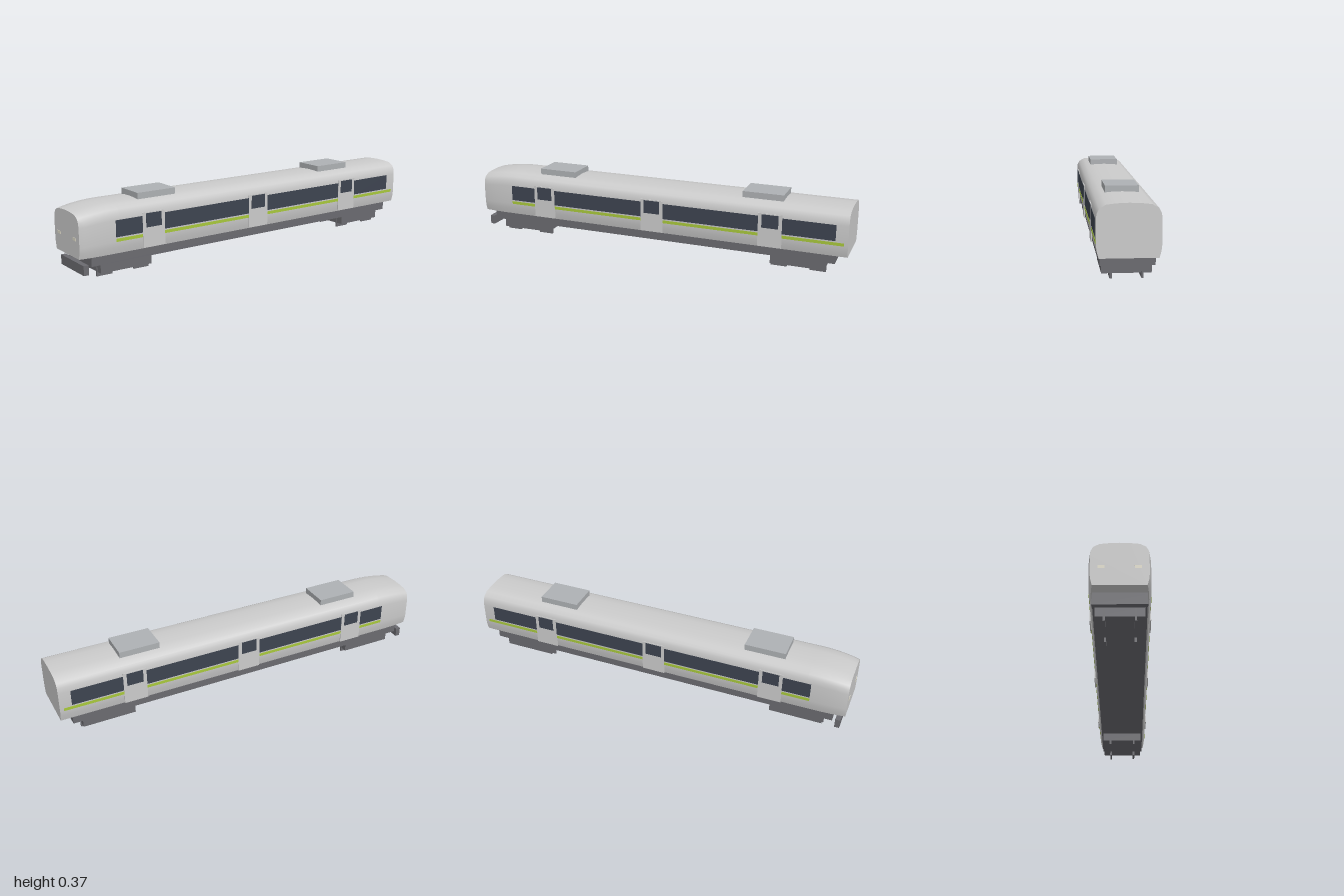
import * as THREE from 'three';
import { toCreasedNormals } from 'three/addons/utils/BufferGeometryUtils.js';

const mat = (color) => new THREE.MeshStandardMaterial({ color });

// Closed shell lofted along z; the nose narrows and droops towards the front
function shellGeometry() {
  const half = [[0.126, 0.11], [0.134, 0.142], [0.137, 0.17], [0.137, 0.27], [0.134, 0.297],
    [0.123, 0.318], [0.095, 0.334], [0.05, 0.339]];
  const ring = [...half, [0, 0.341], ...half.map(([x, y]) => [-x, y]).reverse()];
  const n = ring.length;
  const zs = [-1, 0.8, 0.84, 0.88, 0.92, 0.95, 0.975, 1];
  const pos = [], idx = [];
  for (const z of zs) {
    const t = Math.max(0, (z - 0.8) / 0.2);
    const sx = 1 - 0.08 * t ** 3, sy = 1 - 0.098 * t * t;
    for (const [x, y] of ring) pos.push(x * sx, 0.11 + (y - 0.11) * sy, z);
  }
  for (let s = 0; s < zs.length - 1; s++) {
    for (let i = 0; i < n; i++) {
      const a = s * n + i, b = s * n + (i + 1) % n;
      idx.push(a, b, b + n, a, b + n, a + n);
    }
  }
  const last = (zs.length - 1) * n;
  for (let i = 1; i < n - 1; i++) {
    idx.push(0, i + 1, i);
    idx.push(last, last + i, last + i + 1);
  }
  const g = new THREE.BufferGeometry();
  g.setAttribute('position', new THREE.Float32BufferAttribute(pos, 3));
  g.setIndex(idx);
  return toCreasedNormals(g, 0.7);
}

export function createModel() {
  const group = new THREE.Group();
  const grey = mat(0xcccccc), dark = mat(0x6b6b70), glass = mat(0x3d4450);
  const green = mat(0xa8c83c), roofGrey = mat(0xaeb1b4), lamp = mat(0xe0dccb);

  // Box given by its extents on each axis
  const box = (name, m, x0, x1, y0, y1, z0, z1) => {
    const mesh = new THREE.Mesh(new THREE.BoxGeometry(x1 - x0, y1 - y0, z1 - z0), m);
    mesh.position.set((x0 + x1) / 2, (y0 + y1) / 2, (z0 + z1) / 2);
    mesh.name = name;
    group.add(mesh);
  };
  // Thin panel on both flanks, reaching out to the given x
  const flank = (name, m, out, y0, y1, z0, z1) => {
    box(name + 'Left', m, 0.134, out, y0, y1, z0, z1);
    box(name + 'Right', m, -out, -0.134, y0, y1, z0, z1);
  };

  const shell = new THREE.Mesh(shellGeometry(), grey);
  shell.name = 'bodyShell';
  group.add(shell);

  // Side windows and stripe
  for (const [a, b] of [[0.68, 0.82], [0.06, 0.56], [-0.56, -0.06], [-0.94, -0.68]]) {
    flank('sideWindow', glass, 0.138, 0.19, 0.27, a, b);
  }
  flank('stripe', green, 0.1382, 0.168, 0.183, -0.98, 0.82);

  // Doors
  for (const z of [-0.62, 0, 0.62]) {
    flank('door', grey, 0.1392, 0.115, 0.285, z - 0.06, z + 0.06);
    flank('doorWindow', glass, 0.1402, 0.212, 0.28, z - 0.042, z + 0.042);
  }

  // Headlights
  for (const s of [-1, 1]) {
    box('headlight', lamp, s * 0.078 - 0.015, s * 0.078 + 0.015, 0.192, 0.206, 0.99, 1.002);
  }

  // Roof units
  for (const z of [-0.565, 0.565]) {
    box('roofUnit', roofGrey, -0.076, 0.076, 0.325, 0.367, z - 0.104, z + 0.104);
  }

  // Underframe and front guard
  box('underframe', dark, -0.118, 0.118, 0.066, 0.112, -0.94, 0.94);
  box('frontGuard', dark, -0.118, 0.118, 0.03, 0.077, 0.955, 0.98);

  // Bogies with wheel blocks
  for (const z of [-0.755, 0.755]) {
    box('bogieFrame', dark, -0.108, 0.108, 0.022, 0.067, z - 0.135, z + 0.135);
    for (const s of [-1, 1]) {
      for (const e of [-1, 1]) {
        const c = z + e * 0.098;
        box('wheelBlock', dark, s * 0.068 - 0.005, s * 0.068 + 0.005, 0, 0.06, c - 0.04, c + 0.04);
      }
    }
  }
  return group;
}
